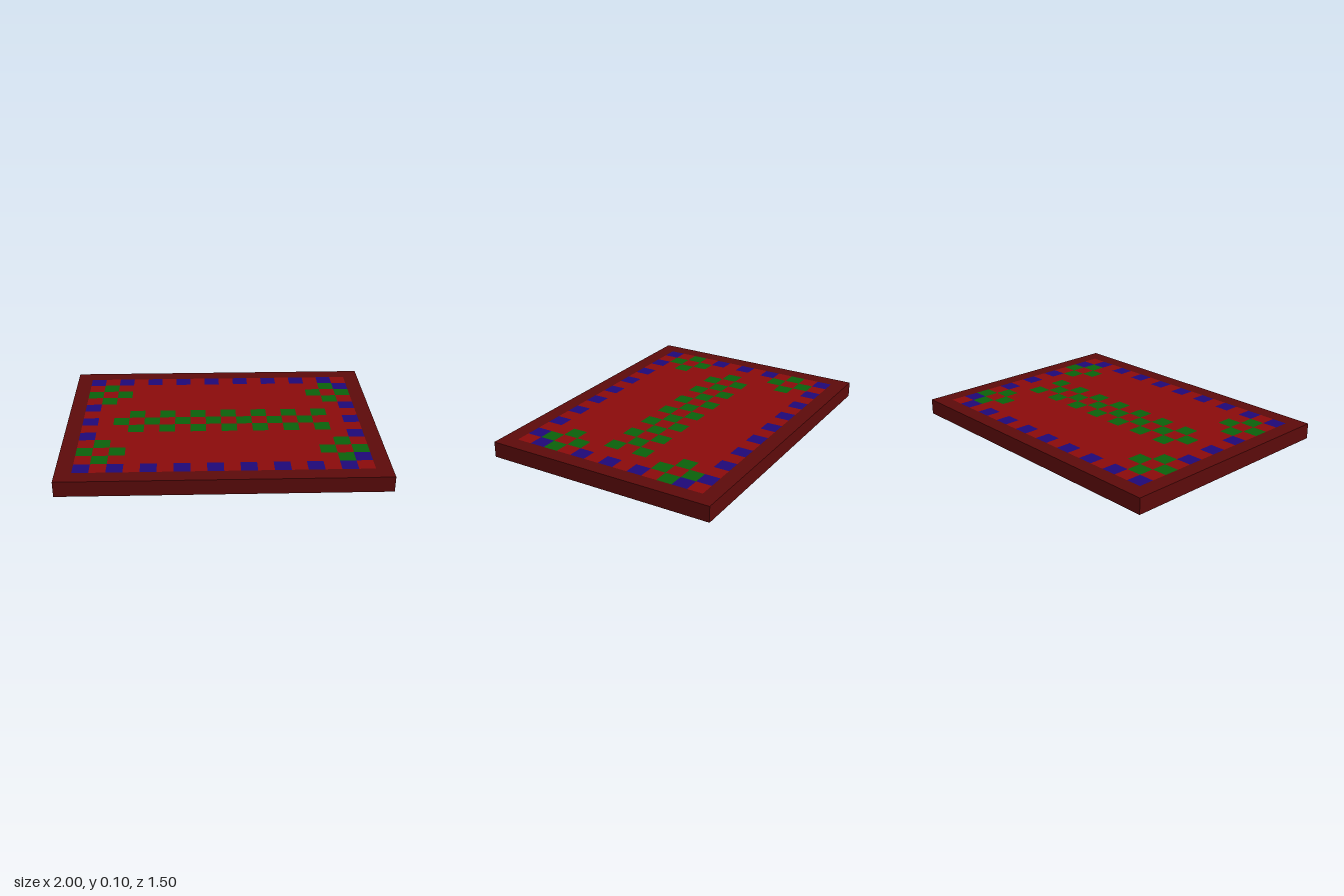
import * as THREE from 'three';
import { mergeGeometries } from 'three/addons/utils/BufferGeometryUtils.js';

const COLS = 20, ROWS = 15, CELL = 0.1, HEIGHT = 0.1;
const W = COLS * CELL, D = ROWS * CELL;

const odd = (n) => n % 2 === 1;

// Which colour of tile sits at a grid position of the rug
function tileAt(col, row) {
  if (col === 0 || row === 0 || col === COLS - 1 || row === ROWS - 1) return 'border';
  const fromMiddle = Math.abs(row - 7);

  // Diamond in each corner
  for (const cx of [2, 17]) {
    if (Math.abs(col - cx) + Math.abs(fromMiddle - 4) === 1) return 'green';
  }
  // Zigzag band across the middle
  if (fromMiddle === 0 && odd(col) && col >= 3 && col <= 15) return 'green';
  if (fromMiddle === 1 && !odd(col) && col >= 4 && col <= 16) return 'green';

  // Dashed edging
  if (fromMiddle === 6 && odd(col)) return 'blue';
  if ((col === 1 || col === 18) && (fromMiddle === 0 || fromMiddle === 2)) return 'blue';
  if (col === 18 && fromMiddle === 5) return 'blue';
  return 'field';
}

export function createModel() {
  const group = new THREE.Group();
  group.name = 'patternedRug';

  const parts = {
    border: { name: 'border', label: 'dark red', color: 0x5c0a0a, faces: [] },
    field: { name: 'field', label: 'red', color: 0x8a0a0a, faces: [] },
    green: { name: 'greenPattern', label: 'green', color: 0x0a600a, faces: [] },
    blue: { name: 'blueEdging', label: 'blue', color: 0x1e0876, faces: [] },
  };

  // Top and underside, one strip for each run of equal tiles
  for (let row = 0; row < ROWS; row++) {
    for (let start = 0, end; start < COLS; start = end) {
      const kind = tileAt(start, row);
      end = start + 1;
      while (end < COLS && tileAt(end, row) === kind) end++;
      const x = ((start + end) / 2) * CELL - W / 2;
      const z = (row + 0.5) * CELL - D / 2;
      for (const side of [1, -1]) {
        parts[kind].faces.push(
          new THREE.PlaneGeometry((end - start) * CELL, CELL)
            .rotateX(-side * Math.PI / 2)
            .translate(x, side > 0 ? HEIGHT : 0, z));
      }
    }
  }

  // Outer walls
  for (let i = 0; i < 4; i++) {
    const width = odd(i) ? D : W, reach = odd(i) ? W / 2 : D / 2;
    parts.border.faces.push(
      new THREE.PlaneGeometry(width, HEIGHT)
        .translate(0, HEIGHT / 2, reach)
        .rotateY(i * Math.PI / 2));
  }

  for (const { name, label, color, faces } of Object.values(parts)) {
    const material = new THREE.MeshStandardMaterial({ color });
    material.name = label;
    const mesh = new THREE.Mesh(mergeGeometries(faces), material);
    mesh.name = name;
    group.add(mesh);
  }
  return group;
}
